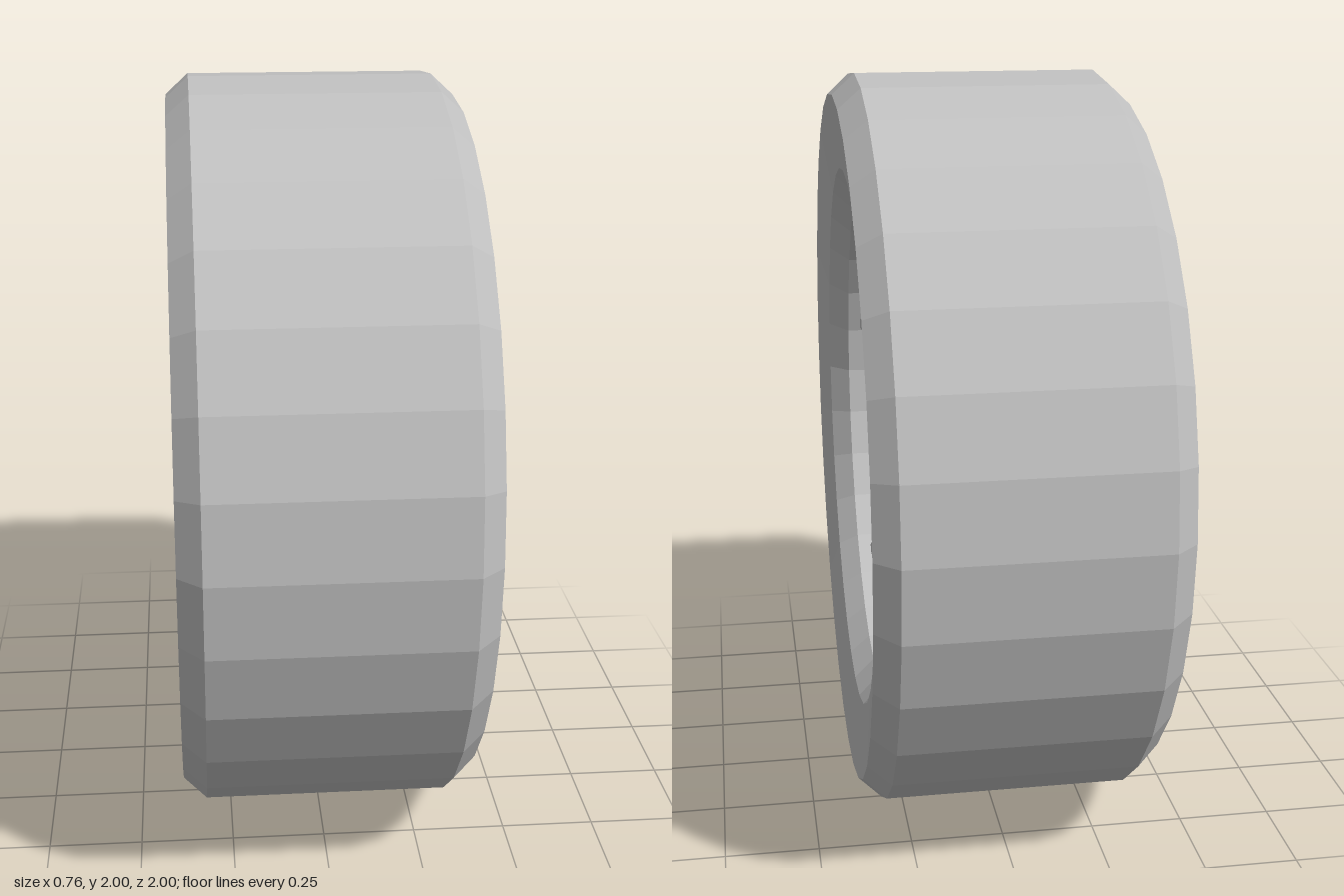
import * as THREE from 'three';

const AXLE_Y = 1;

export function createModel() {
  const grey = new THREE.MeshStandardMaterial({ color: 0xc0c0c0, flatShading: true });
  grey.name = 'plainGrey';

  const model = new THREE.Group();
  model.name = 'wheel';
  // Everything is placed around the axle, which runs along x
  const wheel = new THREE.Group();
  wheel.name = 'wheelAssembly';
  wheel.position.y = AXLE_Y;
  model.add(wheel);

  const add = (name, geometry, parent = wheel) => {
    const mesh = new THREE.Mesh(geometry, grey);
    mesh.name = name;
    parent.add(mesh);
    return mesh;
  };

  // Cylinder along x, from x0 to x1, centred on (y, z)
  const drum = (name, r, x0, x1, y = 0, z = 0, sides = 24) => {
    const g = new THREE.CylinderGeometry(r, r, x1 - x0, sides);
    g.rotateZ(-Math.PI / 2);
    g.translate((x0 + x1) / 2, y, z);
    return add(name, g);
  };

  // Ring of revolution about x, from [radius, x] pairs
  const ring = (name, profile) => {
    const g = new THREE.LatheGeometry(profile.map(([r, x]) => new THREE.Vector2(r, x)), 32);
    g.rotateZ(-Math.PI / 2);
    return add(name, g);
  };

  // Tyre: flat tread, bevelled shoulders, slightly dished sidewalls
  ring('tyre', [
    [0.745, -0.355], [0.945, -0.38], [1, -0.32],
    [1, 0.32], [0.945, 0.38], [0.745, 0.355],
  ]);
  // Rim: flared lips and inner barrel
  ring('rim', [
    [0.745, 0.355], [0.69, 0.3], [0.68, 0], [0.69, -0.3], [0.745, -0.355],
  ]);

  // Hub, cap and axle
  drum('hub', 0.235, 0.09, 0.157, 0, 0, 32);
  drum('hubCap', 0.11, 0.157, 0.215);
  drum('axle', 0.08, -0.1, 0.09);

  // Tapered spoke bar: narrow at the hub, wider and deeper at the rim
  const spokeBar = (side) => {
    const g = new THREE.BoxGeometry(1, 1, 1);
    const p = g.attributes.position;
    for (let i = 0; i < p.count; i++) {
      const tip = p.getY(i) > 0;
      const front = p.getX(i) > 0;
      const outer = p.getZ(i) * side > 0;
      p.setXYZ(
        i,
        front ? (tip ? 0.265 : 0.155) : (tip ? 0.1 : 0.09),
        tip ? 0.695 : 0.22,
        side * (tip ? (outer ? 0.073 : 0.036) : (outer ? 0.028 : 0.008)),
      );
    }
    g.computeVertexNormals();
    return g;
  };

  // Five twin spokes with a wheel nut in line with each
  const NUT_CIRCLE = 0.16;
  for (let i = 0; i < 5; i++) {
    const angle = (i * Math.PI * 2) / 5;
    const spoke = new THREE.Group();
    spoke.name = 'spoke';
    spoke.rotation.x = angle;
    wheel.add(spoke);
    for (const side of [-1, 1]) add('spokeBar', spokeBar(side), spoke);
    drum('wheelNut', 0.027, 0.157, 0.21, NUT_CIRCLE * Math.cos(angle), NUT_CIRCLE * Math.sin(angle), 12);
  }

  // Brake disc and caliper
  drum('brakeDisc', 0.57, -0.115, -0.085);
  const caliper = new THREE.BoxGeometry(0.2, 0.275, 0.49);
  caliper.translate(-0.03, 0.503, 0.235);
  add('brakeCaliper', caliper);
  for (const z of [0.13, 0.34]) drum('caliperPiston', 0.063, 0.07, 0.12, 0.56, z, 16);

  return model;
}
